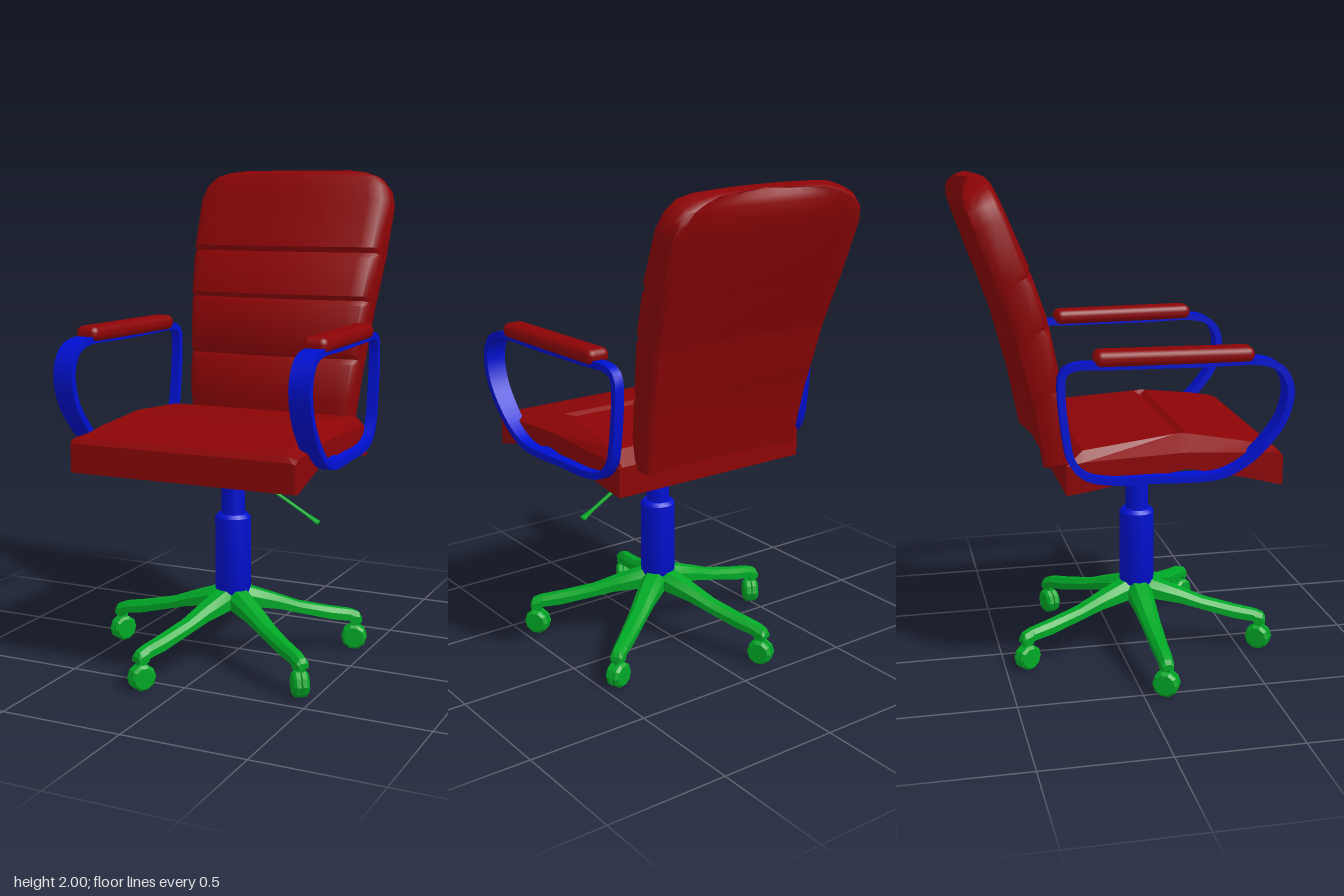
import * as THREE from 'three';
import { toCreasedNormals } from 'three/addons/utils/BufferGeometryUtils.js';
import { RoundedBoxGeometry } from 'three/addons/geometries/RoundedBoxGeometry.js';

const red = new THREE.MeshStandardMaterial({ color: 0x8c0406 });
const blue = new THREE.MeshStandardMaterial({ color: 0x0010d0 });
const green = new THREE.MeshStandardMaterial({ color: 0x00a826 });
const CX = 0.012, CZ = 0.085; // axis of the column

function mesh(name, geometry, material, parent) {
  const m = new THREE.Mesh(geometry, material);
  m.name = name;
  parent.add(m);
  return m;
}

// Skin a row of equal-length rings of [x, y, z]; capped, or closed end to start
function loft(rings, crease = 0.5, closed = false) {
  const n = rings[0].length, pos = rings.flat(2), idx = [];
  const last = closed ? rings.length : rings.length - 1;
  for (let i = 0; i < last; i++) {
    const a = i * n, b = ((i + 1) % rings.length) * n;
    for (let j = 0; j < n; j++) {
      const k = (j + 1) % n;
      idx.push(a + j, b + j, b + k, a + j, b + k, a + k);
    }
  }
  if (!closed) {
    [0, rings.length - 1].forEach((r, end) => {
      const c = pos.length / 3;
      for (let d = 0; d < 3; d++) pos.push(rings[r].reduce((s, p) => s + p[d], 0) / n);
      for (let j = 0; j < n; j++) {
        const p = r * n + j, q = r * n + (j + 1) % n;
        idx.push(c, ...(end ? [q, p] : [p, q]));
      }
    });
  }
  // Turn the skin outward if its enclosed volume is negative
  const v = (i) => new THREE.Vector3().fromArray(pos, i * 3);
  let volume = 0;
  for (let i = 0; i < idx.length; i += 3) volume += v(idx[i]).dot(v(idx[i + 1]).cross(v(idx[i + 2])));
  if (volume < 0) idx.reverse();
  const g = new THREE.BufferGeometry();
  g.setAttribute('position', new THREE.Float32BufferAttribute(pos, 3));
  g.setIndex(idx);
  return toCreasedNormals(g, crease);
}

// Seat cushion: z, bottom, edge height, panel height, half width, panel half width, seam depth
function seatGeometry() {
  const rows = [
    [0.56, 0.83, 0.94, 0.945, 0.472, 0.44, 0],
    [0.545, 0.83, 0.955, 0.964, 0.477, 0.42, 0],
    [0.51, 0.84, 0.962, 0.98, 0.477, 0.405, 0],
    [0.41, 0.865, 0.965, 0.998, 0.473, 0.395, 0],
    [0.205, 0.907, 0.975, 1.028, 0.465, 0.36, 0],
    [0.178, 0.91, 0.975, 1.03, 0.464, 0.355, 0.018],
    [0.15, 0.905, 0.975, 1.028, 0.463, 0.355, 0],
    [-0.22, 0.835, 0.955, 0.995, 0.447, 0.40, 0],
    [-0.287, 0.825, 0.94, 0.945, 0.443, 0.41, 0],
  ];
  return loft(rows.map(([z, b, e, t, w, p, d]) => [
    [-w, b, z], [w, b, z], [w, e, z], [p + 0.02, t, z], [p, t - d, z],
    [-p, t - d, z], [-p - 0.02, t, z], [-w, e, z],
  ]), 0.3);
}

// Backrest: y, front z, back z, half width; bowed forward in the middle
function backGeometry() {
  const rows = [
    [0.918, -0.26, -0.31, 0.35], [0.932, -0.23, -0.328, 0.368], [1.05, -0.222, -0.348, 0.377],
    [1.2, -0.25, -0.375, 0.39], [1.22, -0.27, -0.381, 0.392], [1.24, -0.26, -0.386, 0.394],
    [1.44, -0.302, -0.434, 0.413], [1.46, -0.322, -0.44, 0.415], [1.48, -0.312, -0.446, 0.417],
    [1.635, -0.366, -0.5, 0.432], [1.657, -0.388, -0.51, 0.434], [1.68, -0.38, -0.517, 0.436],
    [1.88, -0.464, -0.59, 0.443], [1.935, -0.488, -0.608, 0.426], [1.975, -0.508, -0.612, 0.388],
    [1.992, -0.523, -0.605, 0.33], [2.0, -0.543, -0.59, 0.25],
  ];
  // Rounded section: across and through, each from -1 to 1
  const half = Array.from({ length: 15 }, (_, i) => [-0.94 + 1.88 * (i / 14), 1]);
  half.push([0.98, 0.8], [1, 0.35]);
  half.push([1, -0.35], [0.98, -0.8]);
  const section = half.concat(half.slice(0, 15).map(([t]) => [-t, -1]),
    [[-0.98, -0.8], [-1, -0.35], [-1, 0.35], [-0.98, 0.8]]);
  return loft(rows.map(([y, f, b, w]) => section.map(([t, s]) => {
    const z = (f + b) / 2 + ((f - b) / 2) * s;
    const tilt = 0.15 + 0.2 * Math.min(1, (y - 0.91) / 0.5);
    return [w * t, y + (z - f) * tilt, z - 0.037 * t * t];
  })), 0.7);
}

// Armrest loop: a flat strip swept round a closed side path, wider to the front
function armGeometry(side) {
  const path = new THREE.CatmullRomCurve3([
    [0.45, 1.33], [0.2, 1.33], [-0.1, 1.33], [-0.265, 1.328], [-0.3, 1.305], [-0.308, 1.25],
    [-0.291, 1.06], [-0.27, 0.965], [-0.22, 0.908], [-0.13, 0.885], [0.05, 0.884], [0.24, 0.884],
    [0.32, 0.898], [0.405, 0.945], [0.483, 1.021], [0.54, 1.105], [0.564, 1.2], [0.552, 1.262], [0.517, 1.307],
  ].map(([z, y]) => new THREE.Vector3(0, y, z)), true);
  const rings = [], n = 90, h = 0.014;
  for (let i = 0; i < n; i++) {
    const p = path.getPointAt(i / n), d = path.getTangentAt(i / n);
    const outer = 0.478 + (p.z + 0.33) * 0.062, inner = 0.44 + (p.z + 0.33) * 0.011;
    const ring = [[outer, 1], [inner, 1], [inner, -1], [outer, -1]];
    rings.push(ring.map(([x, s]) => [side * x, p.y + d.z * h * s, p.z - d.y * h * s]));
  }
  return loft(rings, 0.6, true);
}

// Base leg along +x: radius, bottom, top, half width; the top is chamfered
function legGeometry() {
  const rows = [
    [0, 0.22, 0.302, 0.05], [0.07, 0.225, 0.3, 0.05], [0.19, 0.205, 0.257, 0.042],
    [0.28, 0.18, 0.222, 0.037], [0.42, 0.142, 0.19, 0.031], [0.5, 0.13, 0.175, 0.028],
    [0.51, 0.115, 0.172, 0.028], [0.54, 0.115, 0.16, 0.026], [0.55, 0.12, 0.142, 0.022],
  ];
  return loft(rows.map(([r, b, t, w]) => {
    const e = b + (t - b) * 0.6;
    return [[r, b, -w], [r, b, w], [r, e, w], [r, t, w * 0.5], [r, t, -w * 0.5], [r, e, -w]];
  }), 0.3);
}

export function createModel() {
  const chair = new THREE.Group();
  chair.name = 'officeChair';

  mesh('seat', seatGeometry(), red, chair).position.x = CX;
  mesh('backrest', backGeometry(), red, chair).position.x = CX;

  // Armrests with pads
  const padGeo = new RoundedBoxGeometry(0.1, 0.062, 0.61, 4, 0.028);
  for (const [side, s] of [['left', 1], ['right', -1]]) {
    mesh(side + 'ArmLoop', armGeometry(s), blue, chair).position.x = 0.013;
    const pad = mesh(side + 'ArmPad', padGeo, red, chair);
    pad.position.set(0.013 + s * 0.468, 1.357, 0.12);
    pad.rotation.y = s * 0.05;
  }

  // Gas column
  const column = new THREE.LatheGeometry([
    [0, 0.23], [0.05, 0.23], [0.073, 0.3], [0.073, 0.6], [0.06, 0.615], [0.048, 0.615], [0.048, 0.93], [0, 0.93],
  ].map(([r, y]) => new THREE.Vector2(r, y)), 16);
  mesh('column', toCreasedNormals(column, 0.5), blue, chair).position.set(CX, 0, CZ);

  // Height lever with a thicker grip at its end
  const lever = new THREE.Group();
  lever.name = 'heightLever';
  lever.position.set(0.03, 0.815, CZ);
  lever.rotation.z = Math.atan2(0.36, 0.205);
  const rod = mesh('leverRod', new THREE.CylinderGeometry(0.01, 0.01, 0.4, 8), green, lever);
  rod.position.y = -0.2;
  rod.scale.x = 0.6;
  const grip = mesh('leverGrip', new THREE.CylinderGeometry(0.011, 0.019, 0.06, 8), green, lever);
  grip.position.y = -0.383;
  grip.scale.x = 0.45;
  chair.add(lever);

  // Five-legged base with slim twin-wheel casters, each swivelled its own way
  const legGeo = legGeometry();
  const wheelGeo = toCreasedNormals(new THREE.LatheGeometry([
    [0, -0.013], [0.053, -0.013], [0.053, 0.004], [0.042, 0.015], [0, 0.015],
  ].map(([r, y]) => new THREE.Vector2(r, y)), 10).rotateZ(-Math.PI / 2), 0.3);
  [-0.62, -0.5, 0.5, -1.25, 0.6].forEach((swivel, k) => {
    const a = THREE.MathUtils.degToRad(107.4 + 72 * k);
    const leg = mesh('baseLeg', legGeo, green, chair);
    leg.position.set(CX, 0, CZ);
    leg.rotation.y = -a;
    const caster = new THREE.Group();
    caster.name = 'caster';
    caster.position.set(CX + 0.522 * Math.cos(a), 0, CZ + 0.522 * Math.sin(a));
    caster.rotation.y = swivel;
    for (const s of [-1, 1]) {
      const wheel = mesh('wheel', wheelGeo, green, caster);
      wheel.position.set(s * 0.016, 0.055, 0);
      wheel.rotation.y = s < 0 ? Math.PI : 0;
    }
    mesh('casterStem', new THREE.BoxGeometry(0.024, 0.08, 0.035), green, caster).position.y = 0.09;
    chair.add(caster);
  });

  return chair;
}
